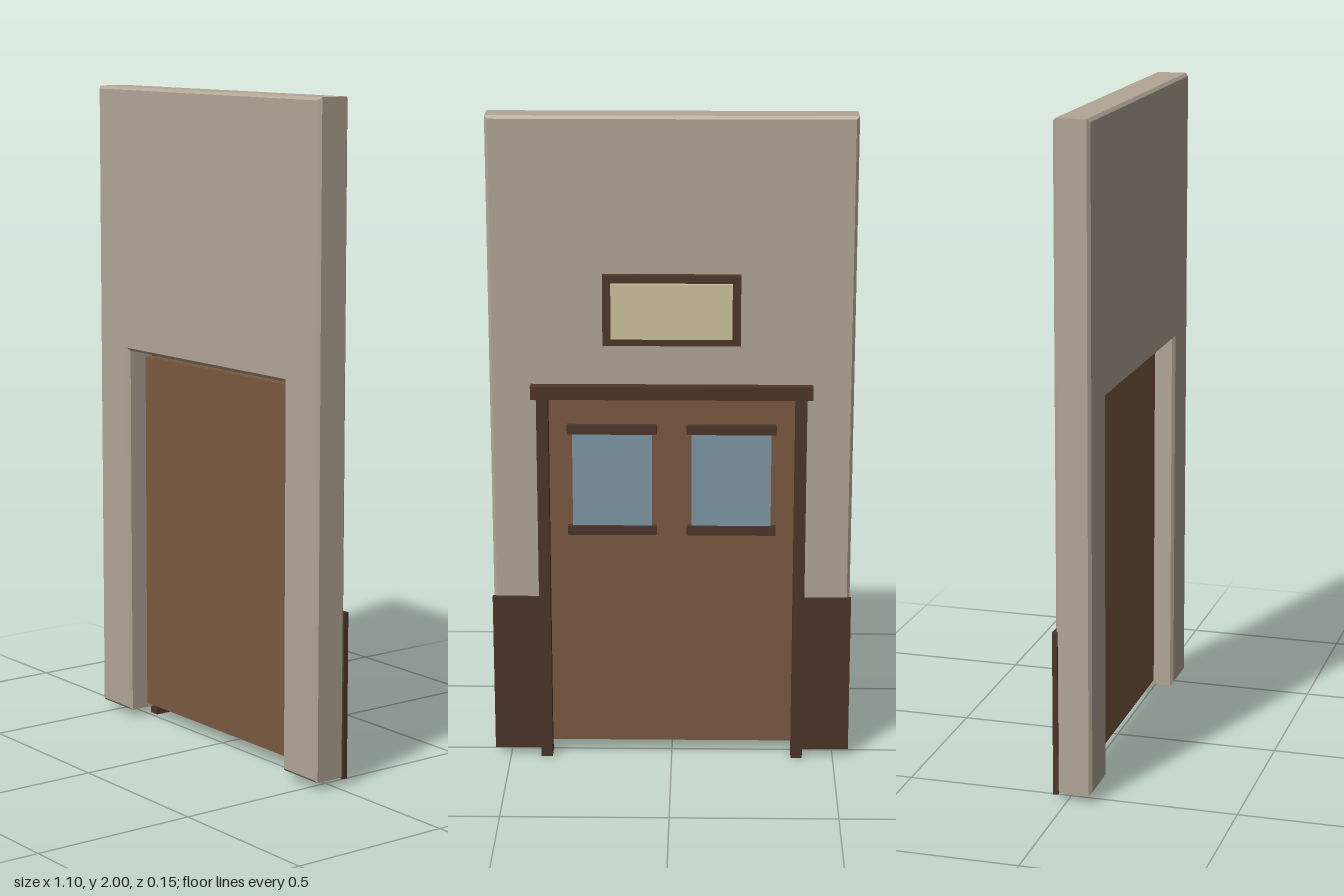
import * as THREE from 'three';

const mat = (color) => new THREE.MeshStandardMaterial({ color, flatShading: true });

export function createModel() {
  const model = new THREE.Group();
  const plaster = mat(0xb2a696), wood = mat(0x7a5940), darkWood = mat(0x4c3529);
  const glass = mat(0x7f98a6), ivory = mat(0xcfc39c);

  // Box given by its limits along each axis
  function box(name, material, [x0, x1], [y0, y1], [z0, z1], parent = model) {
    const mesh = new THREE.Mesh(new THREE.BoxGeometry(x1 - x0, y1 - y0, z1 - z0), material);
    mesh.position.set((x0 + x1) / 2, (y0 + y1) / 2, (z0 + z1) / 2);
    mesh.name = name;
    parent.add(mesh);
    return mesh;
  }

  // Wall with a doorway, all edges chamfered
  const bevel = 0.009;
  const outline = new THREE.Shape([
    [-0.545, 0.025], [-0.39, 0.025], [-0.39, 1.185], [0.39, 1.185],
    [0.39, 0.025], [0.545, 0.025], [0.545, 2], [-0.545, 2],
  ].map(([x, y]) => new THREE.Vector2(x, y)));
  const wall = new THREE.Mesh(new THREE.ExtrudeGeometry(outline, {
    depth: 0.107 - 2 * bevel, bevelThickness: bevel, bevelSize: bevel,
    bevelOffset: -bevel, bevelSegments: 1,
  }), plaster);
  wall.position.z = -0.032 + bevel;
  wall.name = 'wall';
  model.add(wall);

  // Door slab
  box('doorSlab', wood, [-0.386, 0.386], [0.04, 1.162], [-0.022, 0.012]);

  // Door frame: header and two jambs
  box('frameHeader', darkWood, [-0.422, 0.422], [1.155, 1.195], [-0.068, -0.022]);

  for (const [side, s] of [['left', 1], ['right', -1]]) {
    const span = (a, b) => (s > 0 ? [a, b] : [-b, -a]);
    box(side + 'Jamb', darkWood, span(0.37, 0.405), [0, 1.17], [-0.064, -0.015]);
    box(side + 'Wainscot', darkWood, span(0.395, 0.549), [0.02, 0.52], [-0.041, -0.026]);

    // Window pane between a top and a bottom rail
    const window = new THREE.Group();
    window.name = side + 'Window';
    model.add(window);
    box('pane', glass, span(0.06, 0.3), [0.74, 1.05], [-0.032, -0.018], window);
    box('topRail', darkWood, span(0.045, 0.315), [1.04, 1.068], [-0.042, -0.018], window);
    box('bottomRail', darkWood, span(0.045, 0.315), [0.722, 0.75], [-0.042, -0.018], window);
  }

  // Sign board above the door
  box('signFrame', darkWood, [-0.205, 0.205], [1.32, 1.532], [-0.061, -0.03]);
  box('signPanel', ivory, [-0.18, 0.18], [1.343, 1.51], [-0.074, -0.055]);

  return model;
}
